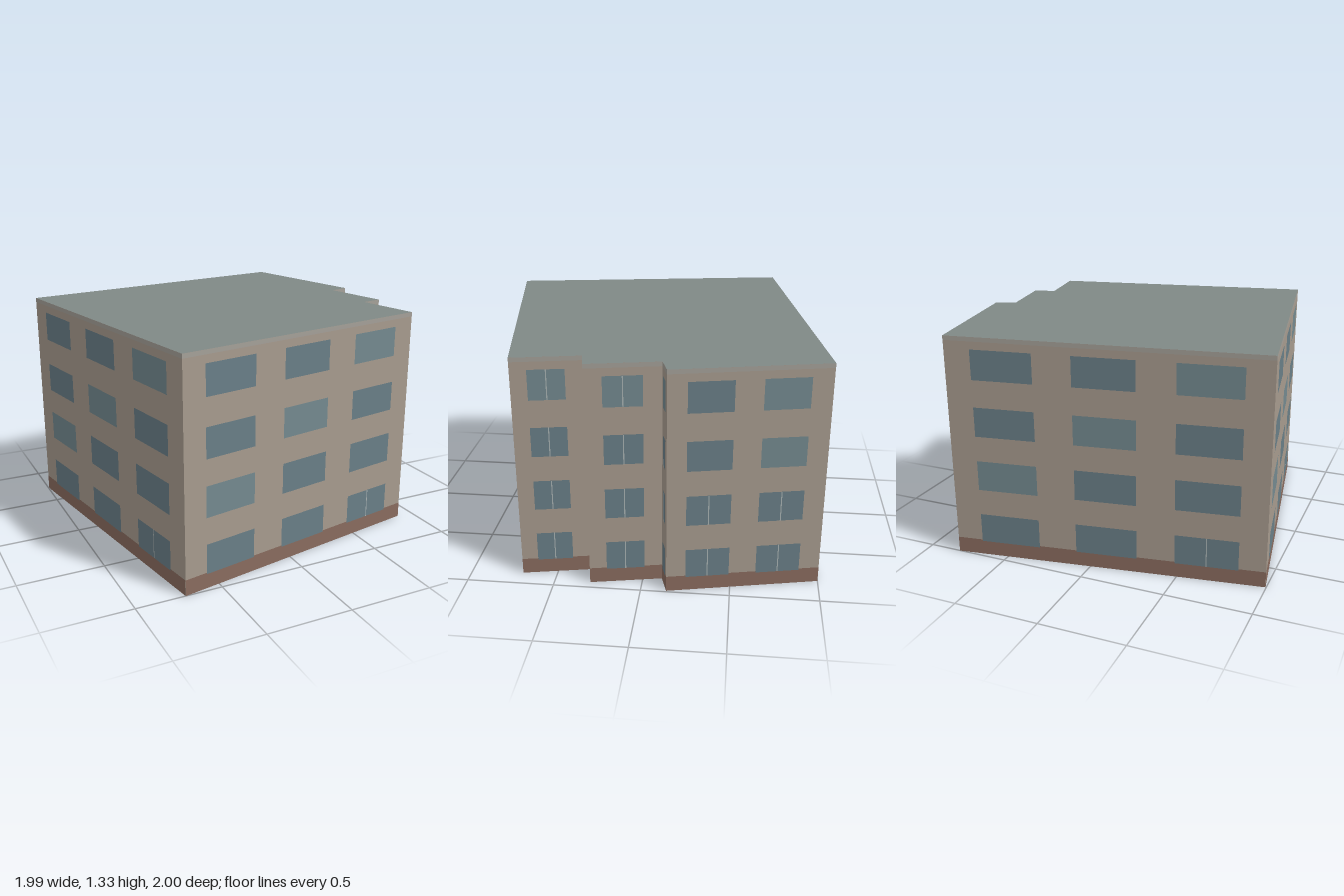
import * as THREE from 'three';

const HEIGHT = 1.325;
const material = (color, side = THREE.FrontSide) => new THREE.MeshStandardMaterial({ color, side });

export function createModel() {
  const model = new THREE.Group();
  model.name = 'apartmentBlock';

  const wallMat = material(0xa89c8f, THREE.DoubleSide);
  const roofMat = material(0x808986, THREE.DoubleSide);
  const plinthMat = material(0x8a6c5f);
  const corniceMat = material(0xa5a199);
  const glassMat = material(0x6a7f88);
  const paleGlassMat = material(0x748a90);
  const mullionMat = material(0xaab4b4);

  // Footprint corners (x, z), running left to right as seen from outside
  const corners = [
    [-0.715, 1.0], [0.895, 0.7], [0.82, 0.32], [0.95, 0.295],
    [0.87, -0.11], [0.99, -0.145], [0.805, -1.0], [-0.995, -0.715],
  ];
  const names = ['frontWall', 'rightWallFront', 'frontStep', 'rightWallMiddle',
    'rearStep', 'rightWallBack', 'backWall', 'leftWall'];

  // Window spans as fractions of the wall length
  const spans = {
    1: [[0.235, 0.755]],
    2: [[0.123, 0.404], [0.58, 0.866]],
    3: [[0.084, 0.28], [0.402, 0.598], [0.718, 0.916]],
  };
  const windowCounts = [3, 1, 1, 1, 1, 2, 3, 3];
  const floors = [[0.085, 0.26], [0.415, 0.595], [0.745, 0.92], [1.08, 1.255]];

  const hasMullion = (count, i, floor) =>
    count === 1 || (count === 2 && floor < 2) || (count === 3 && i === 2 && floor === 0);
  const isPale = (count, i, floor) =>
    count === 3 ? i === floor - 1 : count === 2 ? i === 1 && floor > 1 : floor === 3;

  corners.forEach(([ax, az], w) => {
    const [bx, bz] = corners[(w + 1) % corners.length];
    const length = Math.hypot(bx - ax, bz - az);
    const wall = new THREE.Group();
    wall.name = names[w];
    wall.position.set(ax, 0, az);
    wall.rotation.y = Math.atan2(az - bz, bx - ax);
    model.add(wall);

    // Flat panel in the wall's own plane, x along the wall
    const panel = (name, x0, x1, y0, y1, offset, mat) => {
      const mesh = new THREE.Mesh(new THREE.PlaneGeometry(x1 - x0, y1 - y0), mat);
      mesh.name = name;
      mesh.position.set((x0 + x1) / 2, (y0 + y1) / 2, offset);
      wall.add(mesh);
    };

    panel('masonry', 0, length, 0, HEIGHT, 0, wallMat);
    panel('plinth', 0, length, 0, 0.093, 0.001, plinthMat);
    panel('cornice', 0, length, 1.3, HEIGHT, 0.001, corniceMat);

    // Windows, floor by floor
    const count = windowCounts[w];
    floors.forEach(([y0, y1], floor) => {
      spans[count].forEach(([t0, t1], i) => {
        const glass = isPale(count, i, floor) ? paleGlassMat : glassMat;
        panel('window', t0 * length, t1 * length, y0, y1, 0.002, glass);
        if (hasMullion(count, i, floor)) {
          const mid = ((t0 + t1) / 2) * length;
          panel('mullion', mid - 0.003, mid + 0.003, y0, y1, 0.003, mullionMat);
        }
      });
    });
  });

  // Flat roof following the footprint; the underside of the block stays open
  const outline = new THREE.Shape(corners.map(([x, z]) => new THREE.Vector2(x, -z)));
  const roof = new THREE.Mesh(new THREE.ShapeGeometry(outline).rotateX(-Math.PI / 2), roofMat);
  roof.name = 'roof';
  roof.position.y = HEIGHT;
  model.add(roof);

  return model;
}
